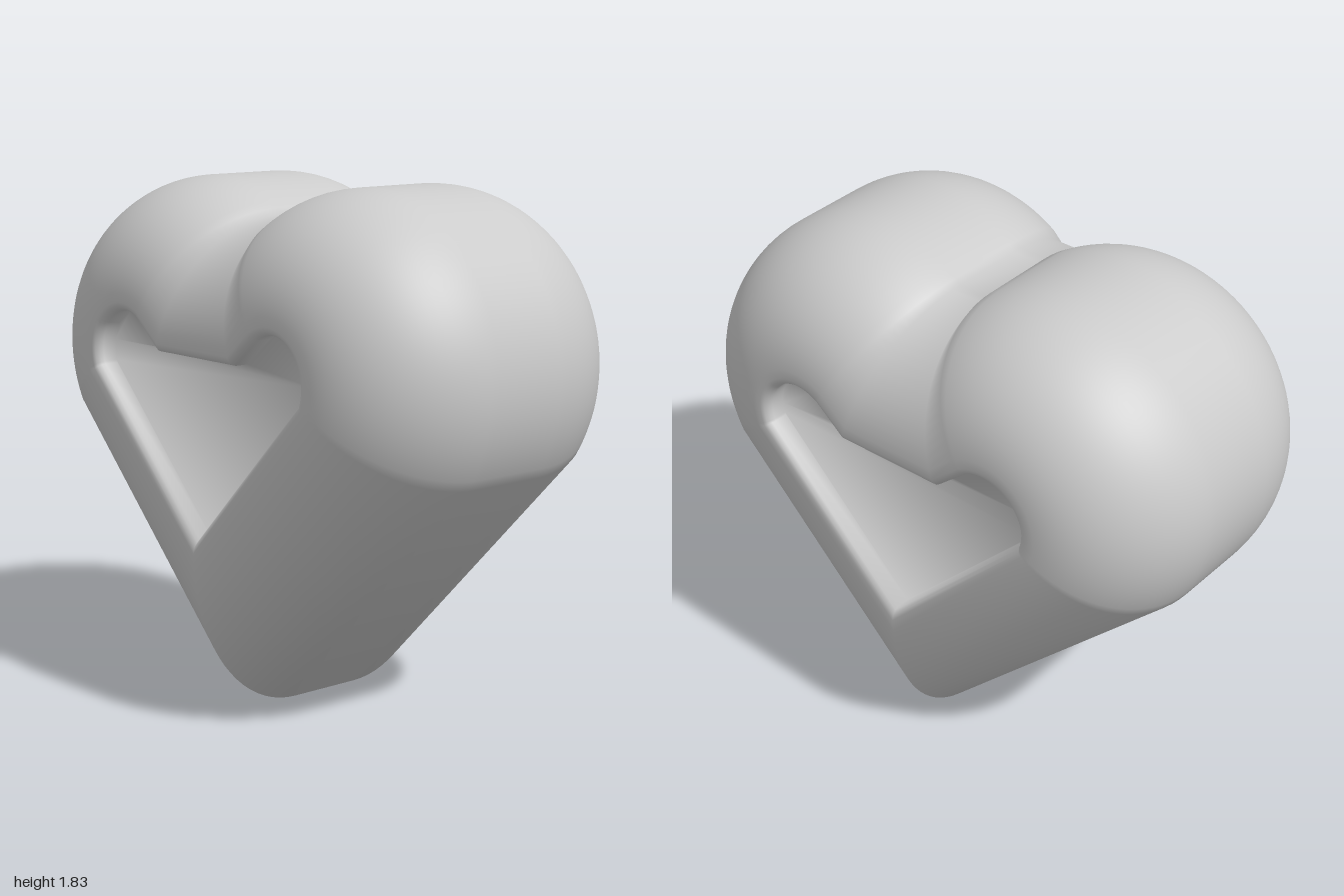
import * as THREE from 'three';

const LOBE_Z = 0.4, LOBE_Y = 1.23, LOBE_R = 0.6;
const RIM = 0.45, FLOOR_X = 0.505;

// Heart outline as [z, y] points, moved inward by d
function heartOutline(d) {
  const half = [];
  const steps = 40, r = LOBE_R - d;
  // the lobe starts where it meets the straight lower side
  const sideDistance = (LOBE_Y - LOBE_Z) / Math.SQRT2 - d;
  const from = -Math.PI / 4 + Math.acos(sideDistance / r);
  const to = THREE.MathUtils.degToRad(123);
  for (let i = 0; i <= steps; i++) {
    const a = from + (to - from) * i / steps;
    half.push([LOBE_Z + r * Math.cos(a), LOBE_Y + r * Math.sin(a)]);
  }
  half.push([0.06 + 0.32 * d, 1.71 - d]); // flat notch corner
  const mirrored = half.map(([z, y]) => [-z, y]).reverse();
  return [[0, d * Math.SQRT2], ...half, ...mirrored];
}

// Half section as [x, inset]: middle band, round shoulder, lip, recess wall
function halfSection() {
  const pts = [];
  for (let i = 0; i <= 20; i++) {
    const t = i / 20 * Math.PI / 2;
    pts.push([0.14 + 0.445 * Math.sin(t), 0.42 * (1 - Math.cos(t))]);
  }
  pts.push([0.58, 0.435], [0.568, 0.446], [0.555, RIM], [FLOOR_X, RIM]);
  return pts;
}

// Skin the outlines along x, then close both recesses with a heart-shaped floor
function bodyGeometry() {
  const half = halfSection();
  const section = [...half.map(([x, d]) => [-x, d]).reverse(), ...half];
  const pos = [], idx = [];
  const n = heartOutline(0).length, last = (section.length - 1) * n;
  section.forEach(([x, d], i) => {
    heartOutline(d).forEach(([z, y], j) => {
      pos.push(x, y, z);
      if (i === section.length - 1) return;
      const a = i * n + j, c = i * n + (j + 1) % n;
      idx.push(a, a + n, c, c, a + n, c + n);
    });
  });
  const g = new THREE.BufferGeometry();
  g.setAttribute('position', new THREE.Float32BufferAttribute(pos, 3));
  g.setIndex(idx);
  g.computeVertexNormals();

  // Soft shading from recess wall into floor
  const normal = g.attributes.normal;
  for (let j = 0; j < n; j++) {
    normal.setX(j, -1);
    normal.setX(last + j, 1);
  }
  g.normalizeNormals();

  const rim = heartOutline(RIM).map(([z, y]) => new THREE.Vector2(z, y));
  for (const [a, b, c] of THREE.ShapeUtils.triangulateShape(rim, [])) {
    idx.push(a, b, c, last + a, last + c, last + b);
  }
  g.setIndex(idx);
  return g;
}

export function createModel() {
  const group = new THREE.Group();
  group.name = 'heart';
  const body = new THREE.Mesh(bodyGeometry(), new THREE.MeshStandardMaterial({ color: 0xcccccc }));
  body.name = 'heartBody';
  group.add(body);
  return group;
}
